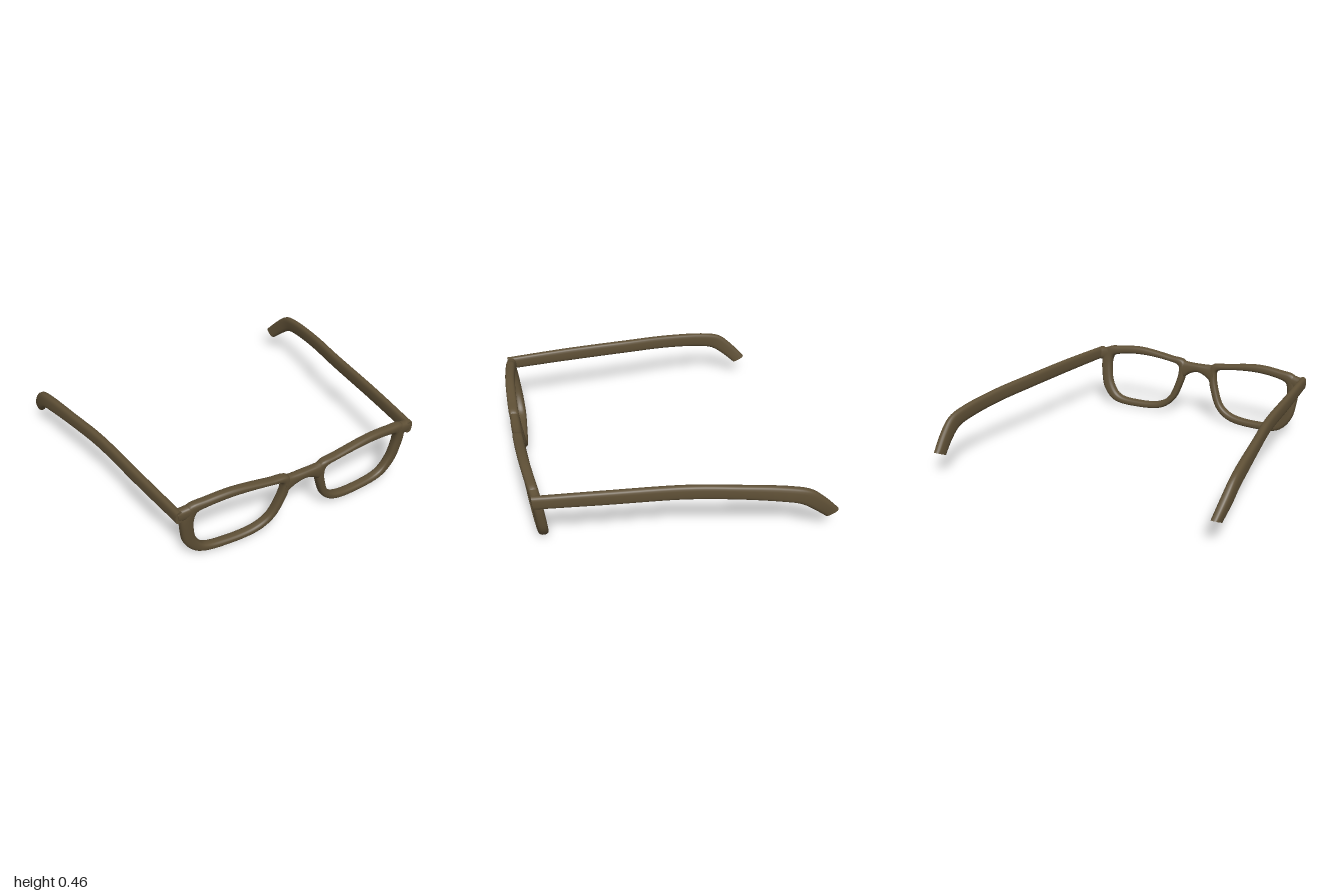
import * as THREE from 'three';

const V = (x, y, z) => new THREE.Vector3(x, y, z);
const SIDES = 20;

// Rounded cross-section about a centre, spanned by two half-axes
function section(c, u, v, power) {
  const soft = (n) => Math.sign(n) * Math.pow(Math.abs(n), power);
  return Array.from({ length: SIDES }, (_, i) => {
    const a = (i / SIDES) * Math.PI * 2;
    return c.clone().addScaledVector(u, soft(Math.cos(a))).addScaledVector(v, soft(Math.sin(a)));
  });
}

// Skin a row of sections; closed joins last to first, otherwise flat end caps
function loft(rings, closed) {
  const pts = rings.flat();
  const n = rings.length;
  const tris = [];
  for (let r = 0; r < (closed ? n : n - 1); r++) {
    for (let i = 0; i < SIDES; i++) {
      const j = (i + 1) % SIDES, q = ((r + 1) % n) * SIDES, p = r * SIDES;
      tris.push([p + i, q + i, q + j], [p + i, q + j, p + j]);
    }
  }
  if (!closed) {
    for (const [ring, flip] of [[rings[0], false], [rings[n - 1], true]]) {
      const base = pts.length;
      pts.push(...ring.map((p) => p.clone()));
      for (let i = 1; i < SIDES - 1; i++) {
        tris.push(flip ? [base, base + i + 1, base + i] : [base, base + i, base + i + 1]);
      }
    }
  }
  // Turn faces outward whichever side is being built
  let volume = 0;
  for (const [a, b, c] of tris) volume += pts[a].dot(pts[b].clone().cross(pts[c]));
  if (volume < 0) tris.forEach((t) => t.reverse());
  const g = new THREE.BufferGeometry().setFromPoints(pts);
  g.setIndex(tris.flat());
  g.computeVertexNormals();
  return g;
}

// Depth of the front: bowed across its width and leaning back at the bottom
const frontZ = (x, y) => 0.885 - 0.07 * x * x + 0.13 * (y - 0.38);
const DEPTH = 0.031;

// Section of the front between two points of its outline
function frontSection(ax, ay, bx, by, power) {
  const a = V(ax, ay, frontZ(ax, ay)), b = V(bx, by, frontZ(bx, by));
  return section(a.clone().add(b).multiplyScalar(0.5), b.sub(a).multiplyScalar(0.5), V(0, 0, DEPTH), power);
}

const sample = (points, count, closed) => {
  const curve = new THREE.CatmullRomCurve3(points, closed, 'centripetal');
  return Array.from({ length: count }, (_, i) => curve.getPoint(i / (closed ? count : count - 1)));
};

// Rim outline: inner x, y, outer x, y
const RIM = [
  [0.47, 0.407, 0.47, 0.46], [0.63, 0.393, 0.64, 0.45], [0.692, 0.372, 0.75, 0.43],
  [0.708, 0.33, 0.787, 0.34], [0.708, 0.25, 0.782, 0.23], [0.69, 0.16, 0.755, 0.12],
  [0.63, 0.077, 0.67, 0.03], [0.47, 0.053, 0.47, 0.005], [0.30, 0.07, 0.27, 0.028],
  [0.22, 0.12, 0.175, 0.10], [0.17, 0.23, 0.12, 0.22], [0.15, 0.32, 0.10, 0.30],
  [0.157, 0.365, 0.11, 0.403], [0.25, 0.39, 0.23, 0.426],
];

// Temple stations: top z, y, bottom z, y, inner x, outer x
const TEMPLE = [
  [0.87, 0.425, 0.865, 0.34, 0.785, 0.83], [0.45, 0.427, 0.45, 0.335, 0.825, 0.872],
  [0, 0.42, 0, 0.328, 0.862, 0.912], [-0.3, 0.403, -0.3, 0.31, 0.905, 0.956],
  [-0.6, 0.37, -0.55, 0.277, 0.938, 0.99], [-0.73, 0.335, -0.67, 0.247, 0.948, 1.0],
  [-0.82, 0.262, -0.76, 0.185, 0.942, 0.997], [-0.92, 0.155, -0.84, 0.115, 0.928, 0.98],
];

function rim(s) {
  const inner = sample(RIM.map((p) => V(s * p[0], p[1], 0)), 84, true);
  const outer = sample(RIM.map((p) => V(s * p[2], p[3], 0)), 84, true);
  return loft(inner.map((a, i) => frontSection(a.x, a.y, outer[i].x, outer[i].y, 0.75)), true);
}

// Bar across the front through stations of x, bottom y, top y
function bar(stations, count) {
  const low = sample(stations.map((p) => V(p[0], p[1], 0)), count, false);
  const high = sample(stations.map((p) => V(p[0], p[2], 0)), count, false);
  return loft(low.map((a, i) => frontSection(a.x, a.y, high[i].x, high[i].y, 0.75)), false);
}

function temple(s) {
  const top = sample(TEMPLE.map((p) => V(p[4], p[1], p[0])), 40, false);
  const bottom = sample(TEMPLE.map((p) => V(p[5], p[3], p[2])), 40, false);
  return loft(top.map((t, i) => {
    const b = bottom[i];
    const c = V(s * (t.x + b.x) / 2, (t.y + b.y) / 2, (t.z + b.z) / 2);
    return section(c, V(0, (t.y - b.y) / 2, (t.z - b.z) / 2), V((b.x - t.x) / 2, 0, 0), 0.7);
  }), false);
}

export function createModel() {
  const group = new THREE.Group();
  const brown = new THREE.MeshStandardMaterial({ color: 0x5f5036 });
  brown.name = 'brown frame';
  const add = (name, geometry) => {
    const mesh = new THREE.Mesh(geometry, brown);
    mesh.name = name;
    group.add(mesh);
  };

  // Nose bridge between the rims
  add('bridge', bar([
    [-0.135, 0.28, 0.407], [-0.105, 0.285, 0.402], [-0.07, 0.313, 0.398], [0, 0.337, 0.396],
    [0.07, 0.313, 0.398], [0.105, 0.285, 0.402], [0.135, 0.28, 0.407],
  ], 25));

  // Rims, corner pieces and temples on both sides
  for (const [side, s] of [['left', 1], ['right', -1]]) {
    add(side + 'Rim', rim(s));
    add(side + 'EndPiece', bar([
      [s * 0.71, 0.365, 0.438], [s * 0.75, 0.345, 0.43], [s * 0.785, 0.337, 0.424], [s * 0.815, 0.337, 0.424],
    ], 10));
    add(side + 'Temple', temple(s));
  }
  return group;
}
